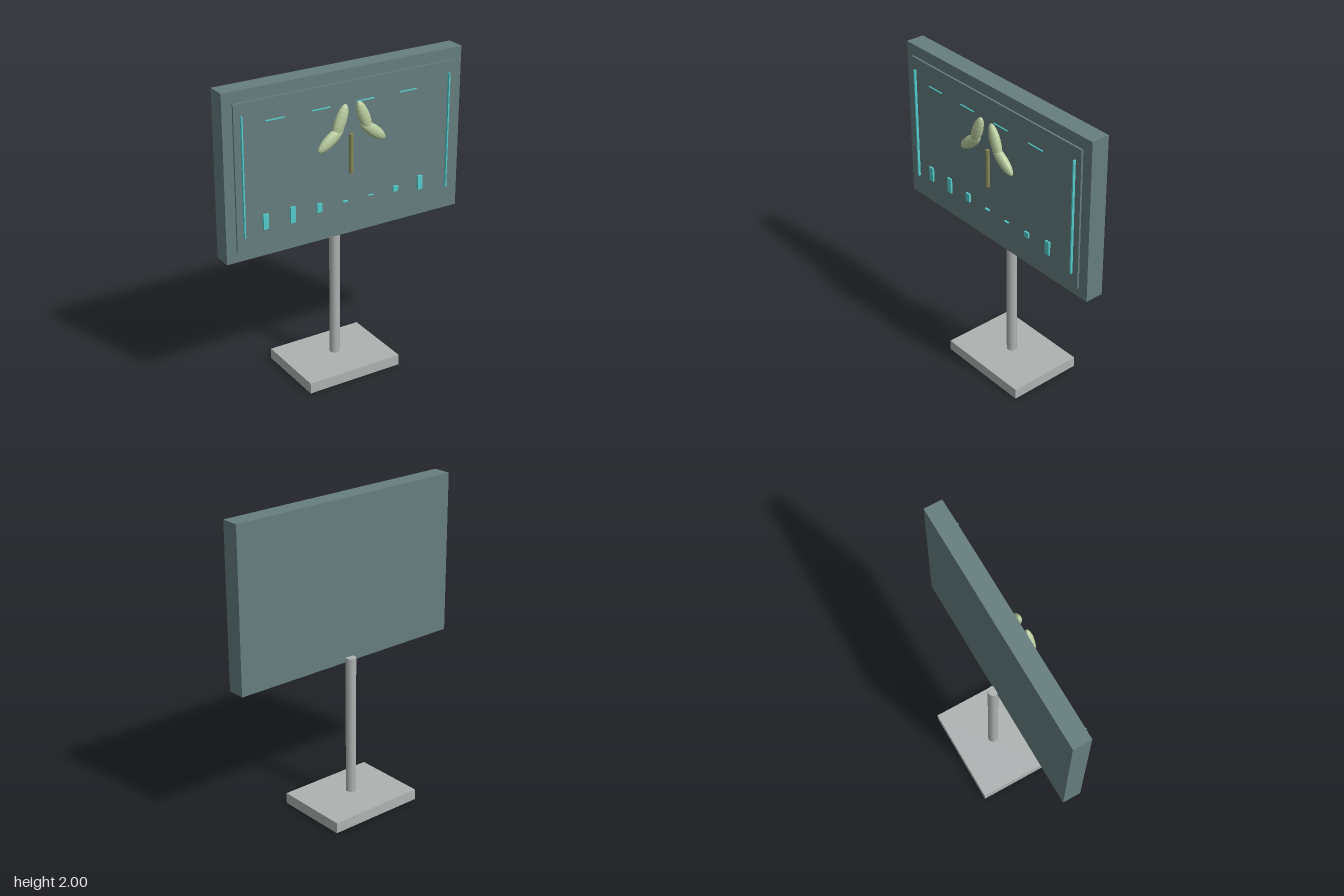
import * as THREE from 'three';

const mat = (name, color, flatShading = false) => {
  const m = new THREE.MeshStandardMaterial({ color, flatShading });
  m.name = name;
  return m;
};

export function createModel() {
  const model = new THREE.Group();
  model.name = 'displayStand';

  const slate = mat('slate', 0x667e7f);
  const metal = mat('greyMetal', 0xaeb3b2);
  const cyan = mat('cyan', 0x55cbcb);
  const paleGreen = mat('paleGreen', 0xb9cd9f, true);
  const olive = mat('olive', 0x87875a);

  const add = (name, geometry, material, x, y, z, parent = model) => {
    const mesh = new THREE.Mesh(geometry, material);
    mesh.name = name;
    mesh.position.set(x, y, z);
    parent.add(mesh);
    return mesh;
  };
  const box = (w, h, d) => new THREE.BoxGeometry(w, h, d);
  const group = (name) => {
    const g = new THREE.Group();
    g.name = name;
    model.add(g);
    return g;
  };

  // Stand
  add('base', box(0.65, 0.07, 0.494), metal, 0, 0.035, 0);
  add('pole', new THREE.CylinderGeometry(0.033, 0.033, 0.912, 12), metal, 0, 0.539, 0);

  // Panel and raised screen
  add('panel', box(1.614, 1.036, 0.118), slate, 0, 1.482, 0.076);
  add('screen', box(1.49, 0.9, 0.012), slate, 0, 1.48, 0.146);

  // Thin strips down both sides of the screen
  for (const s of [-1, 1]) add('sideStrip', box(0.009, 0.735, 0.016), cyan, s * 0.702, 1.488, 0.164);

  // Row of dashes near the top
  const dashes = group('topDashes');
  for (let i = 0; i < 4; i++) {
    add('dash', box(0.12, 0.006, 0.007), cyan, -0.495 + i * 0.2985, 1.806, 0.172, dashes);
  }

  // Level bars near the bottom
  const bars = group('levelBars');
  [0.094, 0.1, 0.055, 0.008, 0.003, 0.035, 0.088].forEach((h, i) => {
    add('levelBar', box(0.034, h, 0.013), cyan, -0.566 + i * 0.1787, 1.193, 0.167, bars);
  });

  // Winged emblem: a rod with two lobes on each side
  const emblem = group('wingEmblem');
  add('rod', new THREE.CylinderGeometry(0.013, 0.013, 0.245, 10), olive, 0, 1.497, 0.184, emblem);
  const lobe = new THREE.SphereGeometry(1, 14, 10);
  for (const s of [-1, 1]) {
    const upper = add('upperLobe', lobe, paleGreen, s * 0.081, 1.712, 0.192, emblem);
    upper.scale.set(0.037, 0.108, 0.028);
    upper.rotation.z = s * 0.37;
    const lower = add('lowerLobe', lobe, paleGreen, s * 0.144, 1.615, 0.192, emblem);
    lower.scale.set(0.037, 0.105, 0.028);
    lower.rotation.z = s * 0.92;
  }

  return model;
}
